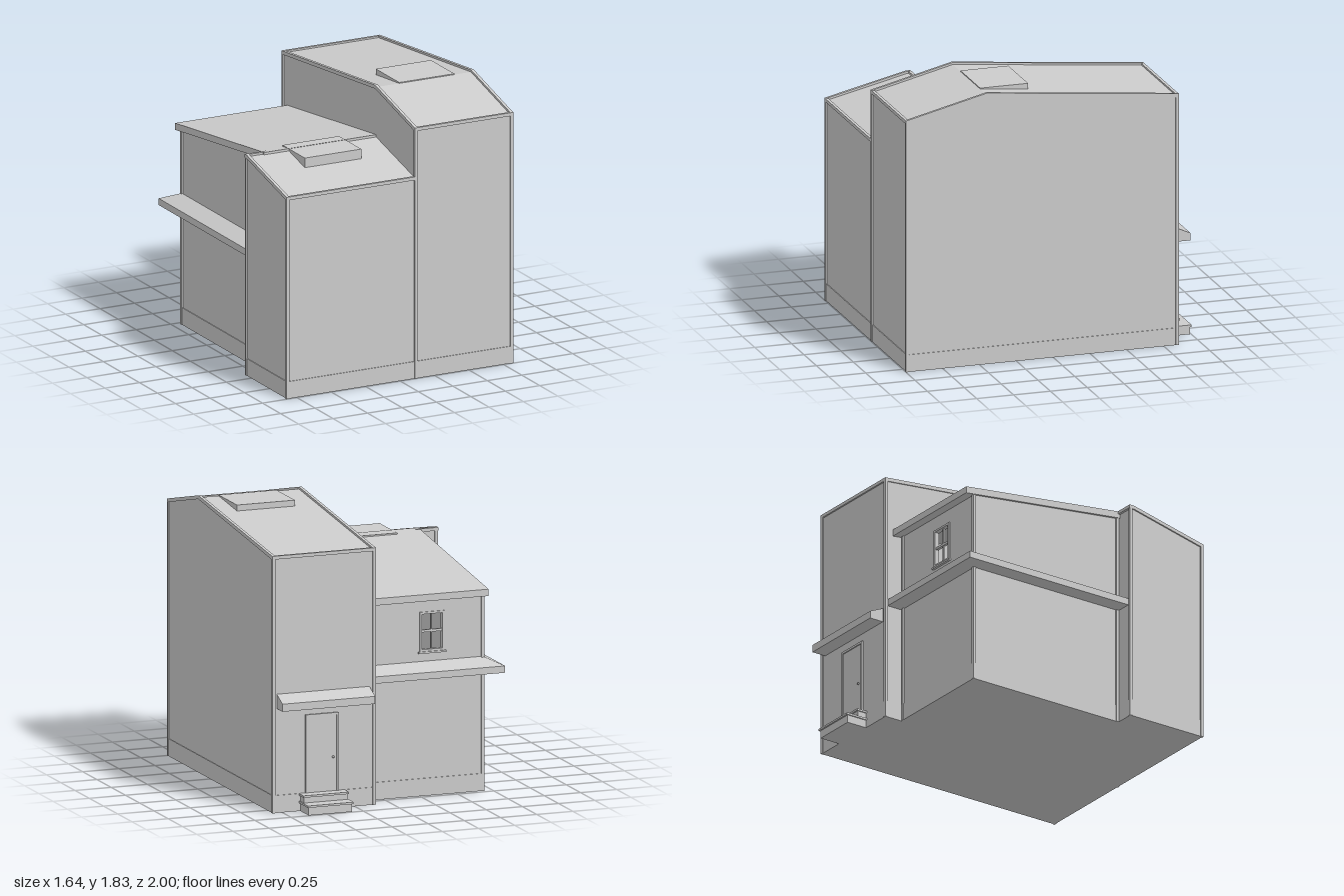
import * as THREE from 'three';

const material = new THREE.MeshStandardMaterial({ color: 0xcccccc, flatShading: true });

export function createModel() {
  const house = new THREE.Group();
  house.name = 'house';

  const add = (name, geometry, parent = house) => {
    const mesh = new THREE.Mesh(geometry, material);
    mesh.name = name;
    parent.add(mesh);
    return mesh;
  };
  const group = (name) => {
    const g = new THREE.Group();
    g.name = name;
    house.add(g);
    return g;
  };
  // Box given by its extents
  const box = (name, x0, x1, y0, y1, z0, z1, parent) => {
    const g = new THREE.BoxGeometry(x1 - x0, y1 - y0, z1 - z0);
    g.translate((x0 + x1) / 2, (y0 + y1) / 2, (z0 + z1) / 2);
    return add(name, g, parent);
  };
  // Side profile of [z, y] points extruded from x0 to x1
  const profile = (name, pts, x0, x1, parent) => {
    const shape = new THREE.Shape(pts.map(([z, y]) => new THREE.Vector2(-z, y)));
    const g = new THREE.ExtrudeGeometry(shape, { depth: x1 - x0, bevelEnabled: false });
    g.rotateY(Math.PI / 2);
    g.translate(x0, 0, 0);
    return add(name, g, parent);
  };
  // Thin band following a roof line
  const band = (name, line, x0, x1, parent) =>
    profile(name, [...line, ...line.map(([z, y]) => [z, y - 0.024]).reverse()], x0, x1, parent);
  const post = (name, x, z, top, parent, r = 0.01) =>
    box(name, x - r, x + r, 0, top, z - r, z + r, parent);
  // [offset, y] section swept along stations { x, z, dx, dz }
  const sweep = (name, section, stations, parent) => {
    const rings = stations.map(({ x, z, dx, dz }) => section.map(([o, y]) => [x + o * dx, y, z + o * dz]));
    const v = [];
    const quad = (a, b, c, d) => v.push(...a, ...b, ...c, ...a, ...c, ...d);
    for (let i = 0; i < rings.length - 1; i++)
      for (let j = 0; j < 4; j++) {
        const k = (j + 1) % 4;
        quad(rings[i][j], rings[i][k], rings[i + 1][k], rings[i + 1][j]);
      }
    quad(...[...rings[0]].reverse());
    quad(...rings[rings.length - 1]);
    const g = new THREE.BufferGeometry();
    g.setAttribute('position', new THREE.Float32BufferAttribute(v, 3));
    g.computeVertexNormals();
    return add(name, g, parent);
  };

  // Tall wing
  const tall = group('tallWing');
  profile('tallBody', [[0.99, 0], [0.99, 1.68], [0.45, 1.812], [-0.84, 1.68], [-0.84, 0]], 0.113, 0.812, tall);
  for (const x of [0.105, 0.8])
    band('gableTrim', [[1, 1.692], [0.45, 1.826], [-0.85, 1.692]], x, x + 0.02, tall);
  for (const z of [0.98, -0.85]) box('eaveTrim', 0.105, 0.82, 1.67, 1.692, z, z + 0.02, tall);
  for (const x of [0.115, 0.81]) for (const z of [0.99, -0.84]) post('cornerPost', x, z, 1.68, tall);
  box('tallPlinth', 0.109, 0.816, 0, 0.115, -0.845, 0.995, tall);
  box('roofHatch', 0.28, 0.68, 1.7, 1.818, 0.125, 0.45, tall);

  // Low front wing
  const low = group('lowFrontWing');
  profile('lowBody', [[0.99, 0], [0.99, 1.35], [0.45, 1.475], [0.43, 1.475], [0.43, 0]], -0.815, 0.113, low);
  band('gableTrim', [[1, 1.362], [0.45, 1.49], [0.42, 1.49]], -0.825, -0.805, low);
  box('frontEaveTrim', -0.825, 0.113, 1.34, 1.362, 0.98, 1, low);
  box('rearEaveTrim', -0.825, -0.67, 1.468, 1.489, 0.415, 0.435, low);
  for (const z of [0.99, 0.43]) post('cornerPost', -0.815, z, 1.355 + (z < 0.5 ? 0.12 : 0), low);
  box('lowPlinth', -0.82, 0.113, 0, 0.115, 0.425, 0.995, low);
  box('roofHatch', -0.52, -0.11, 1.36, 1.489, 0.36, 0.67, low);

  // Rear wing, hollow behind its window
  const rear = group('rearWing');
  const wx0 = -0.42, wx1 = -0.25, wy0 = 0.95, wy1 = 1.21;
  const wall = new THREE.Shape([[-0.685, 0], [0.115, 0], [0.115, 1.32], [-0.685, 1.32]].map((p) => new THREE.Vector2(...p)));
  wall.holes.push(new THREE.Path([[wx0, wy0], [wx0, wy1], [wx1, wy1], [wx1, wy0]].map((p) => new THREE.Vector2(...p))));
  const wallGeometry = new THREE.ExtrudeGeometry(wall, { depth: 0.03, bevelEnabled: false });
  wallGeometry.translate(0, 0, -0.715);
  add('rearWall', wallGeometry, rear);
  profile('sideWall', [[0.44, 0], [0.44, 1.47], [-0.7, 1.32], [-0.7, 0]], -0.685, -0.655, rear);
  box('rearFloor', -0.68, 0.113, 0, 0.03, -0.71, 0.44, rear);
  profile('rearRoof', [[0.45, 1.491], [-0.785, 1.34], [-0.785, 1.295], [0.45, 1.446]], -0.7, 0.113, rear);
  box('rearPlinth', -0.69, 0.113, 0, 0.115, -0.72, -0.69, rear);
  box('sidePlinth', -0.69, -0.66, 0, 0.115, -0.72, 0.43, rear);
  post('cornerPost', -0.685, -0.715, 1.315, rear);
  post('innerPost', 0.093, -0.715, 1.315, rear);
  post('sidePost', -0.685, 0.415, 1.45, rear);

  // Canopies: one wraps the rear wing, one shelters the door
  sweep('wrapCanopy', [[0, 0.79], [0, 0.885], [0.11, 0.835], [0.11, 0.79]], [
    { x: 0.113, z: -0.715, dx: 0, dz: -1 },
    { x: -0.688, z: -0.715, dx: -1, dz: -1 },
    { x: -0.688, z: 0.425, dx: -1, dz: 0 },
  ], rear);
  sweep('doorCanopy', [[0, 0.685], [0, 0.78], [0.1, 0.735], [0.1, 0.685]], [
    { x: 0.785, z: -0.84, dx: 0, dz: -1 },
    { x: 0.145, z: -0.84, dx: 0, dz: -1 },
  ], tall);

  // Sash window
  const win = group('window');
  const t = 0.014;
  for (const x of [wx0, wx1 - t]) box('windowJamb', x, x + t, wy0, wy1, -0.722, -0.69, win);
  for (const y of [wy0, wy1 - t]) box('windowRail', wx0, wx1, y, y + t, -0.722, -0.69, win);
  box('windowSill', wx0 - 0.01, wx1 + 0.01, wy0 - 0.012, wy0, -0.73, -0.69, win);
  box('meetingRail', wx0, wx1, 1.075, 1.091, -0.712, -0.694, win);
  box('mullion', -0.34, -0.33, wy0, wy1, -0.709, -0.697, win);

  // Back door
  const door = group('door');
  box('doorPanel', 0.375, 0.575, 0.115, 0.615, -0.845, -0.83, door);
  for (const x of [0.36, 0.575]) box('doorJamb', x, x + 0.015, 0.115, 0.63, -0.852, -0.83, door);
  box('doorHead', 0.36, 0.59, 0.615, 0.63, -0.852, -0.83, door);
  const knob = new THREE.SphereGeometry(0.008, 12, 8);
  knob.translate(0.4, 0.34, -0.853);
  add('doorKnob', knob, door);

  // Steps with overhanging treads
  const steps = group('steps');
  [[-0.91, 0.115], [-0.99, 0.065]].forEach(([z, top]) => {
    box('stepRiser', 0.325, 0.625, 0, top - 0.013, z, -0.84, steps);
    box('stepTread', 0.317, 0.633, top - 0.013, top, z - 0.01, -0.84, steps);
  });

  return house;
}
